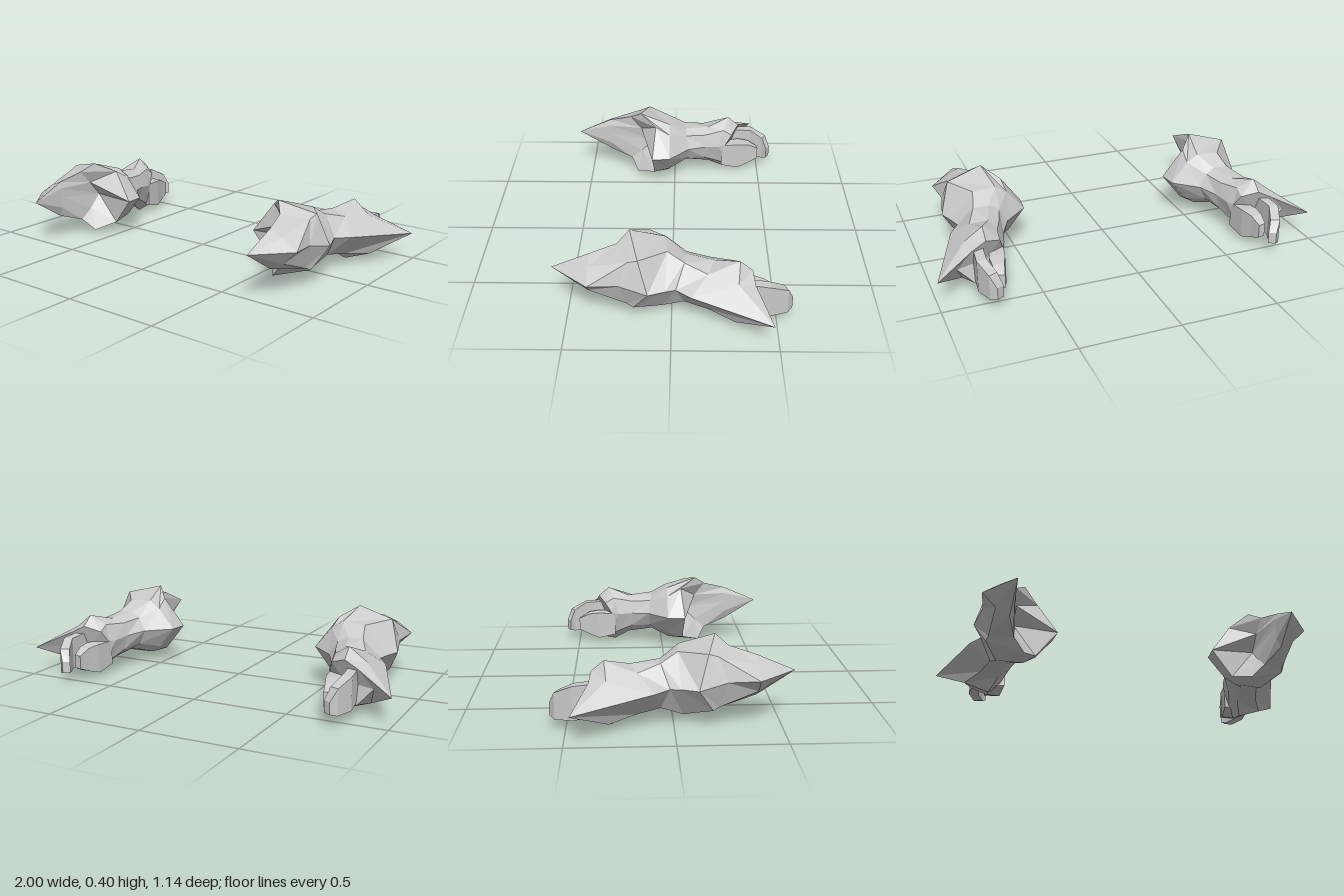
import * as THREE from 'three';

const material = new THREE.MeshStandardMaterial({ color: 0xcccccc, flatShading: true, side: THREE.DoubleSide });

// Facetted skin over cross-sections that run front to back, each going inner, top, outer, bottom.
// side = 1 builds the left arm, -1 mirrors it. start / end are optional points closing the ends.
function loft(name, rings, side, start, end) {
  const pos = [];
  const tri = (a, b, c) => {
    for (const p of side > 0 ? [a, b, c] : [a, c, b]) pos.push(p[0] * side, p[1], p[2]);
  };
  const n = rings[0].length;
  const last = rings[rings.length - 1];
  for (let j = 0; j < n; j++) {
    const k = (j + 1) % n;
    if (start) tri(start, rings[0][k], rings[0][j]);
    for (let i = 0; i < rings.length - 1; i++) {
      const [p, q] = [rings[i], rings[i + 1]];
      tri(p[j], p[k], q[j]);
      tri(p[k], q[k], q[j]);
    }
    if (end) tri(end, last[j], last[k]);
  }
  const geometry = new THREE.BufferGeometry();
  geometry.setAttribute('position', new THREE.Float32BufferAttribute(pos, 3));
  geometry.computeVertexNormals();
  const mesh = new THREE.Mesh(geometry, material);
  mesh.name = name;
  return mesh;
}

// Four-sided section of a hand part: inner and outer [x, z], bottom and top y
const slab = ([xi, zi], [xo, zo], y0, y1) => [[xi, y0, zi], [xi, y1, zi], [xo, y1, zo], [xo, y0, zo]];

// Narrow middle shared by the upper guard and the cuff
const waist = [[.55, .2, -.08], [.59, .27, -.07], [.64, .295, -.06], [.72, .295, -.06],
  [.8, .195, -.02], [.74, .085, -.06], [.65, .085, -.06], [.59, .12, -.07]];

// Upper guard: long front spike, then the swelling with its inner point
const guardTip = [.69, .245, .57];
const guard = [
  [[.68, .24, .39], [.68, .29, .39], [.69, .325, .385], [.76, .295, .39],
    [.84, .24, .39], [.77, .17, .39], [.7, .13, .39], [.68, .18, .39]],
  [[.65, .21, .13], [.65, .29, .2], [.66, .36, .26], [.79, .345, .2],
    [.82, .23, .245], [.78, .1, .21], [.66, .085, .26], [.65, .14, .2]],
  [[.42, .2, .13], [.53, .355, .11], [.61, .405, .2], [.8, .36, .155],
    [.85, .2, .11], [.79, .085, .18], [.6, .025, .22], [.53, .06, .12]],
  [[.43, .2, .03], [.52, .31, .03], [.58, .35, .03], [.7, .345, .02],
    [.82, .2, .03], [.72, .045, .045], [.58, .05, .04], [.52, .09, .03]],
  waist,
];

// Cuff: flares from the waist and carries the outer spike
const cuff = [
  waist,
  [[.6, .19, -.18], [.62, .26, -.18], [.68, .285, -.2], [.77, .265, -.17],
    [.85, .19, -.09], [.78, .07, -.175], [.68, .06, -.2], [.62, .11, -.18]],
  [[.62, .18, -.26], [.66, .27, -.29], [.74, .32, -.32], [.83, .25, -.31],
    [1, .145, -.47], [.85, .05, -.3], [.72, .003, -.285], [.66, .06, -.28]],
  [[.64, .18, -.3], [.66, .24, -.34], [.74, .27, -.38], [.81, .235, -.39],
    [.89, .15, -.39], [.81, .06, -.385], [.72, .02, -.37], [.66, .06, -.32]],
];

// Fingers curling inward behind the cuff
const fingers = [
  slab([.75, -.34], [.8, -.34], .07, .23),
  slab([.76, -.46], [.81, -.465], .055, .22),
  slab([.73, -.53], [.775, -.55], .05, .18),
  slab([.71, -.555], [.745, -.575], .06, .12),
];

// Thumb on the inner side
const thumb = [
  slab([.635, -.28], [.71, -.3], .05, .18),
  slab([.65, -.38], [.73, -.38], .025, .18),
  slab([.67, -.44], [.73, -.44], .045, .17),
  slab([.685, -.5], [.725, -.49], .07, .14),
];

const middle = (s) => [0, 1, 2].map((i) => (s[0][i] + s[2][i]) / 2);

function createArm(name, side) {
  const arm = new THREE.Group();
  arm.name = name;
  arm.add(
    loft('upperGuard', guard, side, guardTip),
    loft('cuff', cuff, side, null, [.73, .15, -.33]),
    loft('fingers', fingers, side, middle(fingers[0]), middle(fingers[3])),
    loft('thumb', thumb, side, middle(thumb[0]), middle(thumb[3])),
  );
  return arm;
}

export function createModel() {
  const model = new THREE.Group();
  model.name = 'armGuards';
  model.add(createArm('leftArm', 1), createArm('rightArm', -1));
  return model;
}
